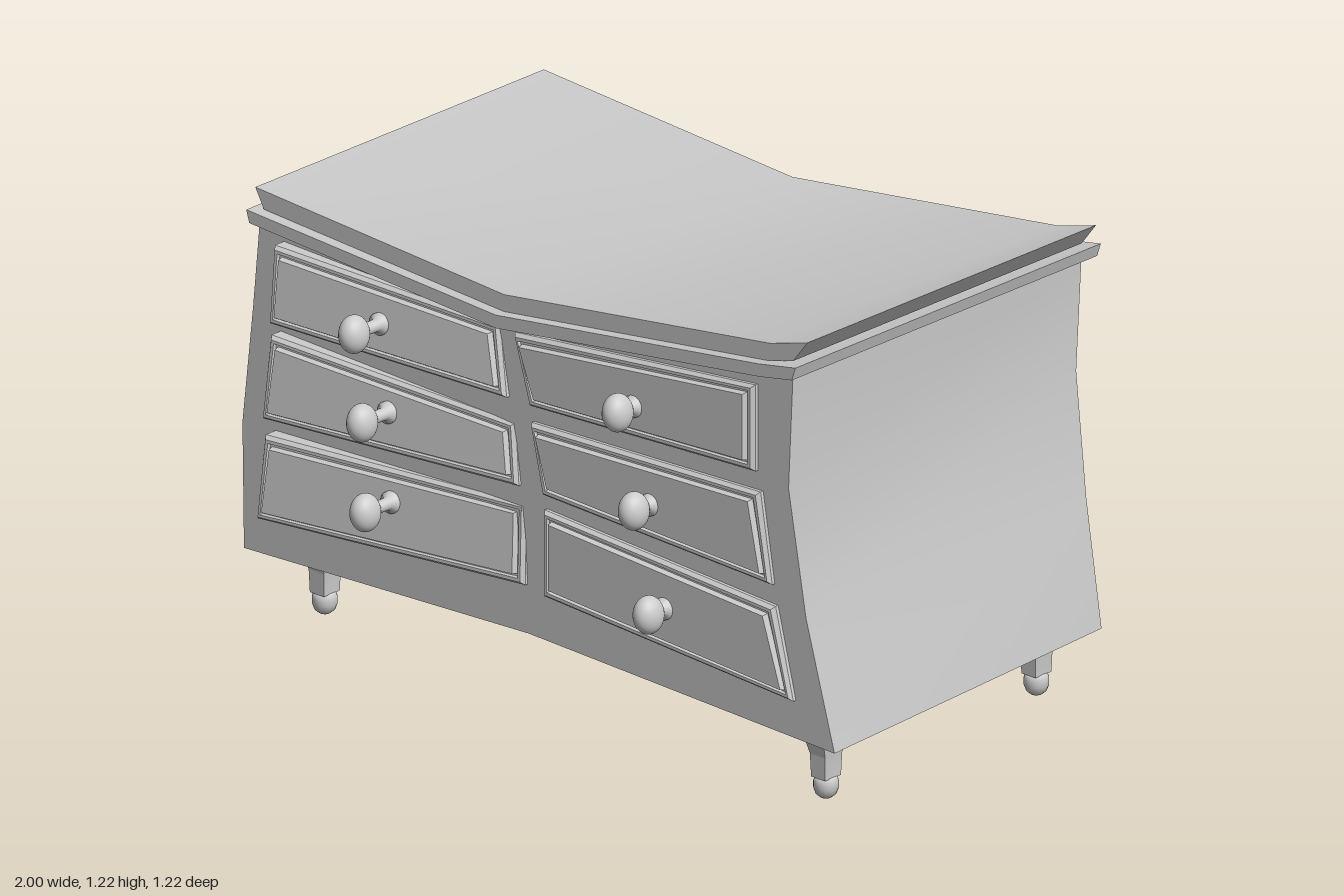
import * as THREE from 'three';
import { toCreasedNormals } from 'three/addons/utils/BufferGeometryUtils.js';

const material = new THREE.MeshStandardMaterial({ color: 0xcccccc });

// Skin a stack of closed rings (counter-clockwise seen from the end side) and cap both ends
function loft(rings, crease = 0.5) {
  const out = [];
  const quad = (a, b, c, d) => out.push(...a, ...b, ...c, ...a, ...c, ...d);
  const m = rings[0].length;
  for (let k = 0; k < rings.length - 1; k++) {
    const a = rings[k], b = rings[k + 1];
    for (let i = 0; i < m; i++) {
      const j = (i + 1) % m;
      quad(a[i], a[j], b[j], b[i]);
    }
  }
  const s = rings[0], e = rings[rings.length - 1];
  for (let i = 0; i < m / 2 - 1; i++) {
    quad(e[i], e[i + 1], e[m - 2 - i], e[m - 1 - i]);
    quad(s[m - 1 - i], s[m - 2 - i], s[i + 1], s[i]);
  }
  const g = new THREE.BufferGeometry();
  g.setAttribute('position', new THREE.Float32BufferAttribute(out, 3));
  return toCreasedNormals(g, crease);
}

// Horizontal ring: front points left to right, then back points right to left
function ring(xs, ys, zFront, zBack, backXs = xs) {
  const front = xs.map((x, i) => [x, ys[i], zFront]);
  const back = backXs.map((x, i) => [x, ys[i], zBack]).reverse();
  return [...front, ...back];
}

function add(parent, name, geometry) {
  const mesh = new THREE.Mesh(geometry, material);
  mesh.name = name;
  parent.add(mesh);
  return mesh;
}

// Drawer front: a lopsided panel with a stepped border, and its knob
function makeDrawer({ corners, knob, left }) {
  const group = new THREE.Group();
  group.name = 'drawer';
  const yc = knob[1];
  const face = (x, y) => left
    ? 0.455 + (-0.05 - x) * 0.05 + (yc - y) * 0.08
    : 0.462;
  const signs = [[1, 1], [-1, 1], [-1, -1], [1, -1]];
  const steps = [[0, -0.018], [0.008, -0.008], [0.016, -0.008], [0.018, -0.016], [0.024, -0.016], [0.027, 0]];
  const rings = [corners.map(([x, y]) => [x, y, 0.42])];
  for (const [inset, dz] of steps) {
    rings.push(corners.map(([x, y], i) => [
      x + signs[i][0] * inset, y + signs[i][1] * inset, face(x, y) + dz]));
  }
  add(group, 'drawerPanel', loft(rings, 0.3));

  // Knob: turned stem and egg-shaped ball
  const z = face(knob[0], yc);
  const reach = left ? 0.09 : 0.055;
  const stem = new THREE.LatheGeometry(
    [[0.028, -0.01], [0.028, 0.006], [0.016, 0.014], [0.014, reach]].map(p => new THREE.Vector2(...p)), 20);
  stem.rotateX(Math.PI / 2);
  add(group, 'knobStem', stem).position.set(knob[0], yc, z);
  const ball = add(group, 'knob', new THREE.SphereGeometry(1, 28, 20));
  ball.scale.set(0.034, 0.048, 0.043);
  ball.rotation.z = 0.12;
  ball.position.set(knob[0], yc, z + reach);
  return group;
}

// Leg: flared square post on a rounded foot
function makeLeg(x, z) {
  const group = new THREE.Group();
  group.name = 'leg';
  const levels = [[0.055, 0.023, 0.028], [0.115, 0.025, 0.03], [0.2, 0.038, 0.056]];
  add(group, 'legPost', loft(levels.map(([y, w, d]) => ring([-w, w], [y, y], d, -d)), 0.2));
  const profile = [[0, 0], [0.014, 0.001], [0.025, 0.01], [0.031, 0.026], [0.031, 0.042], [0.027, 0.056], [0, 0.062]];
  add(group, 'foot', new THREE.LatheGeometry(profile.map(p => new THREE.Vector2(...p)), 20));
  group.position.set(x, 0, z);
  return group;
}

export function createModel() {
  const model = new THREE.Group();
  model.name = 'dresser';

  // Body: pinched waist, flared skewed base
  const zf = 0.435, zb = -0.585;
  add(model, 'body', loft([
    ring([-0.93, 0, 1], [0.175, 0.21, 0.175], zf, zb, [-1, -0.03, 0.93]),
    ring([-0.935, -0.02, 0.907], [0.5, 0.5, 0.5], zf, zb, [-0.95, -0.03, 0.88]),
    ring([-0.9, -0.05, 0.85], [0.81, 0.77, 0.82], zf, zb, [-0.9, -0.05, 0.847]),
    ring([-0.877, -0.08, 0.865], [1.05, 1.0, 1.13], zf, zb),
  ]));

  // Sagging top: moulding below, flared slab above
  const mouldX = [-0.895, -0.08, 0.78, 0.9];
  const mouldTop = [1.07, 1.022, 1.133, 1.155];
  add(model, 'topMoulding', loft([
    ring([-0.885, -0.08, 0.78, 0.888], [1.038, 0.988, 1.1, 1.12], 0.465, -0.615),
    ring(mouldX, mouldTop, 0.465, -0.615),
  ], 0.35));
  add(model, 'topSlab', loft([
    ring([-0.865, -0.08, 0.78, 0.865], mouldTop, zf, zb),
    ring([-0.893, -0.08, 0.79, 0.912], [1.12, 1.066, 1.18, 1.215], zf, zb),
  ], 0.35));

  // Drawers: corners run bottom left, bottom right, top right, top left
  const drawers = [
    { left: true, knob: [-0.45, 0.9], corners: [[-0.8, 0.807], [-0.062, 0.807], [-0.094, 0.984], [-0.8, 1.005]] },
    { left: true, knob: [-0.425, 0.677], corners: [[-0.82, 0.556], [-0.024, 0.588], [-0.045, 0.743], [-0.81, 0.77]] },
    { left: true, knob: [-0.415, 0.447], corners: [[-0.835, 0.294], [-0.003, 0.337], [-0.013, 0.54], [-0.826, 0.508]] },
    { knob: [0.367, 0.908], corners: [[0.013, 0.807], [0.75, 0.84], [0.75, 1.064], [-0.035, 0.984]] },
    { knob: [0.42, 0.668], corners: [[0.056, 0.588], [0.805, 0.561], [0.767, 0.791], [0.019, 0.765]] },
    { knob: [0.468, 0.412], corners: [[0.061, 0.326], [0.874, 0.278], [0.816, 0.508], [0.061, 0.55]] },
  ];
  drawers.forEach(d => model.add(makeDrawer(d)));

  // Legs follow the skewed base
  [[-0.8, 0.29], [0.88, 0.335], [-0.885, -0.49], [0.805, -0.49]].forEach(([x, z]) => model.add(makeLeg(x, z)));

  return model;
}
